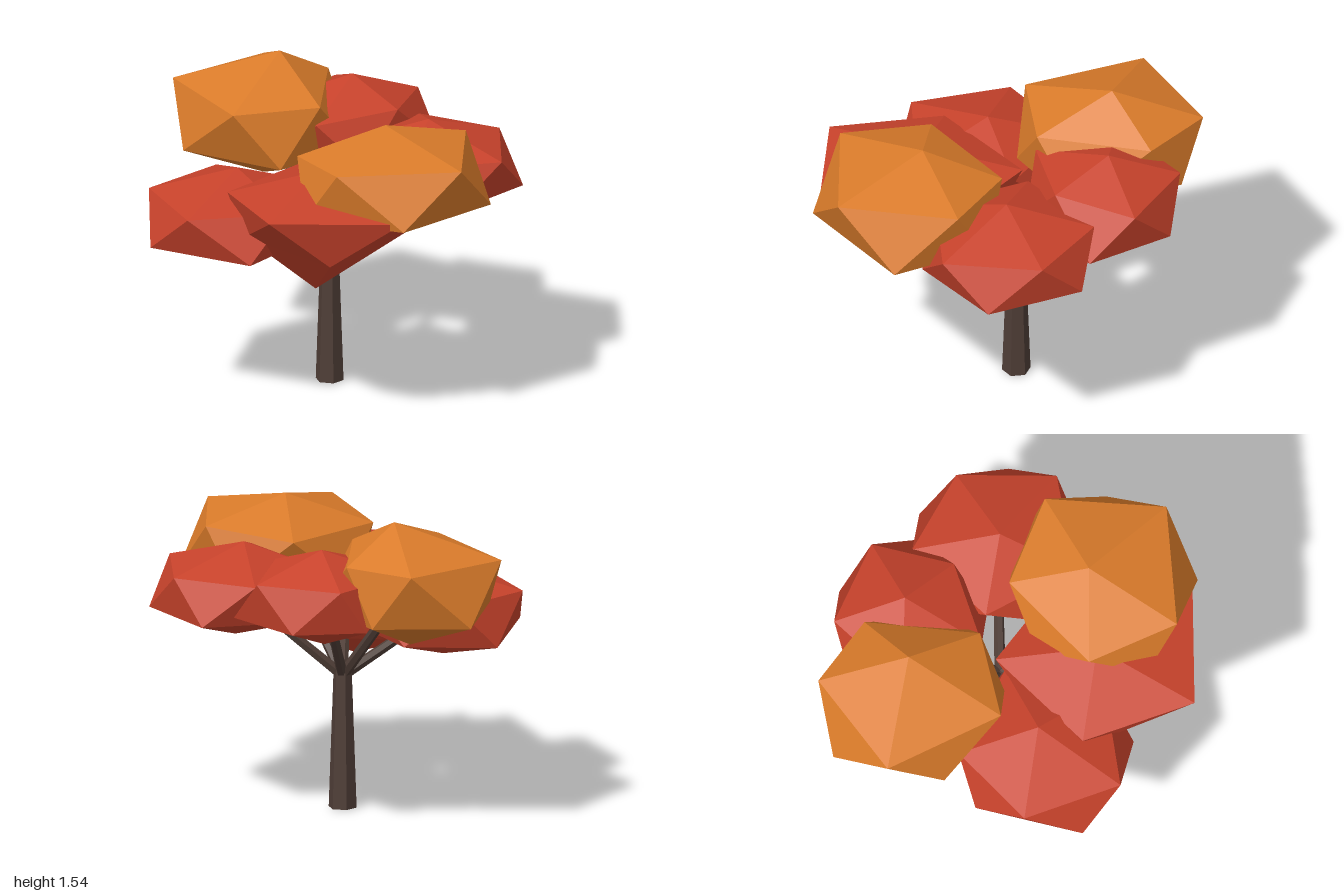
import * as THREE from 'three';

const mat = (name, color) => {
  const m = new THREE.MeshStandardMaterial({ color, flatShading: true });
  m.name = name;
  return m;
};

// Flattened icosahedron standing on a point: top, two staggered rings of five, bottom.
// size = ring radius in x, half height, ring radius in z; turn in degrees;
// lean = rise per unit of x; lowerScale narrows the lower ring;
// peak and foot shift the end points in x and z; nudge moves single ring corners.
function clumpGeometry({ size: [rx, h, rz], turn, lean = 0, lowerScale = 1, peak = [0, 0], foot = [0, 0], nudge = {} }) {
  const ring = (key, y, offset, scale) => Array.from({ length: 5 }, (_, i) => {
    const a = THREE.MathUtils.degToRad(turn + offset + i * 72);
    const x = rx * scale * Math.cos(a);
    const [dx, dy, dz] = nudge[key + i] ?? [0, 0, 0];
    return [x + dx, y + lean * x + dy, rz * scale * Math.sin(a) + dz];
  });
  const upper = ring('u', h / Math.sqrt(5), 0, 1);
  const lower = ring('l', -h / Math.sqrt(5), 36, lowerScale);
  const top = [peak[0], h, peak[1]];
  const bottom = [foot[0], -h, foot[1]];

  const pos = [];
  const tri = (...pts) => pts.forEach((p) => pos.push(...p));
  for (let i = 0; i < 5; i++) {
    const j = (i + 1) % 5;
    tri(top, upper[j], upper[i]);
    tri(upper[i], upper[j], lower[i]);
    tri(lower[i], upper[j], lower[j]);
    tri(bottom, lower[i], lower[j]);
  }
  const g = new THREE.BufferGeometry();
  g.setAttribute('position', new THREE.Float32BufferAttribute(pos, 3));
  g.computeVertexNormals();
  return g;
}

// Tapered six-sided limb between two points
function limb(name, from, to, r0, r1, material) {
  const dir = to.clone().sub(from);
  const mesh = new THREE.Mesh(new THREE.CylinderGeometry(r1, r0, dir.length(), 6), material);
  mesh.position.copy(from).addScaledVector(dir, 0.5);
  mesh.quaternion.setFromUnitVectors(new THREE.Vector3(0, 1, 0), dir.normalize());
  mesh.name = name;
  return mesh;
}

// Leaf clumps around the crown
const clumps = [
  {
    name: 'orangeClumpRight', color: 'orange', center: [-0.53, 1.23, -0.14], size: [0.47, 0.31, 0.42], turn: 2, peak: [0.04, -0.07],
    nudge: { u0: [-0.05, 0, 0.02], u1: [0.07, 0, 0.01], u3: [0.05, 0, -0.07], u4: [-0.11, 0, 0], l2: [0, 0, -0.05] },
  },
  {
    name: 'orangeClumpLeft', color: 'orange', center: [0.55, 1.21, 0.07], size: [0.45, 0.26, 0.48], turn: 0, lean: 0.03, peak: [-0.07, -0.03],
    nudge: { u0: [0, 0.02, -0.03], u1: [-0.07, 0.03, -0.01], u4: [-0.09, 0.03, -0.01], l4: [-0.02, -0.02, -0.06] },
  },
  {
    name: 'redClumpFrontRight', color: 'red', center: [-0.2, 0.94, 0.44], size: [0.41, 0.23, 0.43], turn: 0, peak: [0.01, -0.05],
    nudge: { u2: [0, 0, -0.04], l0: [0.05, -0.01, -0.02], l2: [0, -0.02, -0.05] },
  },
  {
    name: 'redClumpFrontLeft', color: 'red', center: [0.36, 0.95, 0.34], size: [0.53, 0.3, 0.49], turn: 0, lean: 0.1, lowerScale: 0.82,
    peak: [-0.08, -0.03], foot: [-0.07, -0.01],
    nudge: { u1: [-0.07, 0.05, 0.01], u2: [0, 0.08, -0.05], u3: [-0.02, 0.09, -0.07], l0: [-0.1, 0.05, -0.02], l1: [-0.17, 0.12, -0.14], l4: [0.03, 0.18, -0.02] },
  },
  {
    name: 'redClumpBackRight', color: 'red', center: [-0.25, 1.17, -0.45], size: [0.37, 0.24, 0.39], turn: -3, peak: [-0.01, -0.03],
    nudge: { u0: [-0.06, 0.03, 0], l2: [0.01, 0, -0.1], l4: [0.03, 0, -0.06] },
  },
  {
    name: 'redClumpBackLeft', color: 'red', center: [0.34, 1.11, -0.46], size: [0.42, 0.23, 0.42], turn: -3, peak: [-0.02, 0.04],
    nudge: { u4: [-0.04, 0, 0.045] },
  },
];

export function createModel() {
  const tree = new THREE.Group();
  tree.name = 'tree';
  const bark = mat('bark', 0x4e3d36);
  const leaves = { red: mat('redLeaves', 0xc7422b), orange: mat('orangeLeaves', 0xda7b2a) };

  // Trunk
  const base = new THREE.Vector3(-0.01, 0, -0.07);
  const fork = new THREE.Vector3(-0.01, 0.66, -0.07);
  tree.add(limb('trunk', base, fork.clone().setY(0.7), 0.07, 0.045, bark));

  for (const c of clumps) {
    const clump = new THREE.Mesh(clumpGeometry(c), leaves[c.color]);
    clump.position.set(...c.center);
    clump.name = c.name;
    tree.add(clump);

    // Branch reaching most of the way to the clump's middle
    tree.add(limb('branch', fork, fork.clone().lerp(clump.position, 0.62), 0.028, 0.024, bark));
  }
  return tree;
}
